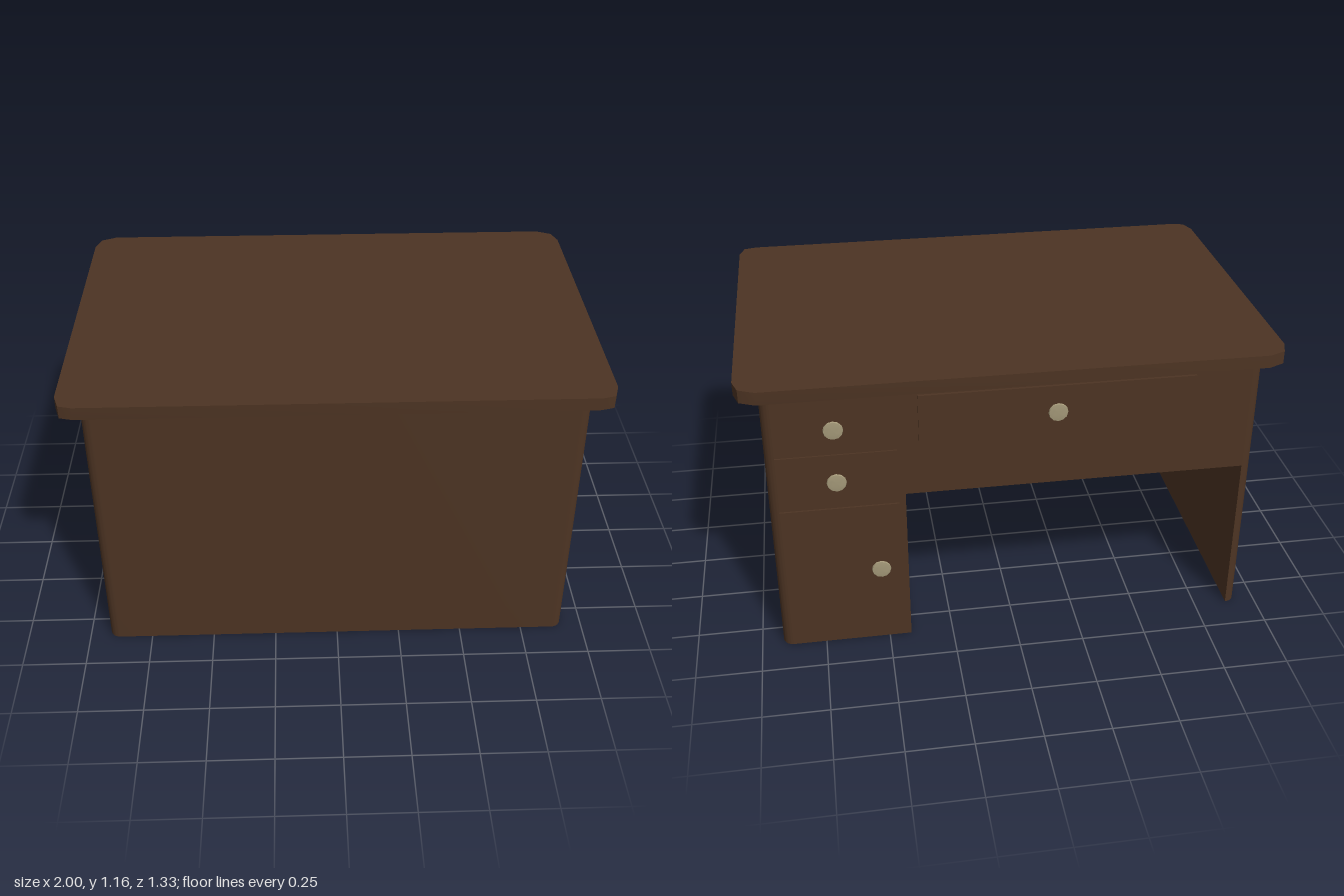
import * as THREE from 'three';
import { toCreasedNormals } from 'three/addons/utils/BufferGeometryUtils.js';

export function createModel() {
  const desk = new THREE.Group();
  desk.name = 'desk';
  const wood = new THREE.MeshStandardMaterial({ color: 0x4d3423 });
  wood.name = 'dark wood';
  const brass = new THREE.MeshStandardMaterial({ color: 0xa39878 });
  brass.name = 'pale brass';

  const add = (name, geometry, material = wood) => {
    const mesh = new THREE.Mesh(geometry, material);
    mesh.name = name;
    desk.add(mesh);
    return mesh;
  };

  // Box given by its limits on each axis
  const box = (name, x0, x1, y0, y1, z0, z1) =>
    add(name, new THREE.BoxGeometry(x1 - x0, y1 - y0, z1 - z0))
      .position.set((x0 + x1) / 2, (y0 + y1) / 2, (z0 + z1) / 2);

  // Plan outline (x, -z) raised between two heights
  const slab = (name, shape, y0, y1, crease) => {
    const g = new THREE.ExtrudeGeometry(shape, { depth: y1 - y0, bevelEnabled: false, curveSegments: 6 });
    g.rotateX(-Math.PI / 2).translate(0, y0, 0);
    return add(name, toCreasedNormals(g, crease));
  };

  // Table top with clipped corners
  const corners = [
    [-0.93, -0.663], [0.93, -0.663], [0.98, -0.65], [1, -0.59],
    [1, 0.58], [0.98, 0.64], [0.92, 0.667], [-0.92, 0.667],
    [-0.98, 0.64], [-1, 0.58], [-1, -0.59], [-0.98, -0.65],
  ].map(([x, y]) => new THREE.Vector2(x, y));
  slab('tableTop', new THREE.Shape(corners), 1.11, 1.16, 0.7);

  // Front and side panels as one U-shaped wall with rounded corners
  const L = -0.92, R = 0.917, F = -0.605, B = 0.61, r = 0.04, t = 0.04;
  const wall = new THREE.Shape();
  wall.moveTo(L + r, F);
  wall.lineTo(R - r, F);
  wall.absarc(R - r, F + r, r, -Math.PI / 2, 0, false);
  wall.lineTo(R, B - r);
  wall.absarc(R - r, B - r, r, 0, Math.PI / 2, false);
  wall.lineTo(R - t, F + t);
  wall.lineTo(L + t, F + t);
  wall.lineTo(L + t, B);
  wall.absarc(L + r, B - r, r, Math.PI / 2, Math.PI, false);
  wall.lineTo(L, F + r);
  wall.absarc(L + r, F + r, r, Math.PI, Math.PI * 1.5, false);
  slab('outerPanels', wall, 0, 1.11, 0.6);

  // Cupboard pedestal and the apron over the knee space
  box('pedestal', 0.415, R - t, 0, 1.11, -0.61, 0.08);
  box('apron', L + t, 0.415, 0.66, 1.11, -0.61, -0.57);

  // Tapering board under the wide drawer
  const board = new THREE.Shape([[L + t, 0.6], [0.415, 0.29], [0.415, 0.6]]
    .map(([x, y]) => new THREE.Vector2(x, y)));
  slab('drawerBoard', board, 0.661, 0.68, 0.5);

  // Drawer fronts and door: limits in x and y, then the knob position
  const fronts = [
    ['upperDrawer', 0.44, 0.88, 0.862, 1.09, 0.665, 0.965],
    ['lowerDrawer', 0.44, 0.88, 0.632, 0.858, 0.665, 0.745],
    ['cupboardDoor', 0.44, 0.88, 0.03, 0.627, 0.52, 0.34],
    ['wideDrawer', -0.665, 0.36, 0.887, 1.075, -0.15, 0.97],
  ];
  const profile = [[0.018, 0], [0.02, 0.004], [0.037, 0.006], [0.035, 0.011], [0.02, 0.013], [0, 0.012]]
    .map(([x, y]) => new THREE.Vector2(x, y));
  const knob = toCreasedNormals(new THREE.LatheGeometry(profile, 12).rotateX(-Math.PI / 2), 0.6);
  for (const [name, x0, x1, y0, y1, kx, ky] of fronts) {
    box(name, x0, x1, y0, y1, -0.621, -0.605);
    add(name + 'Knob', knob, brass).position.set(kx, ky, -0.621);
  }

  return desk;
}
